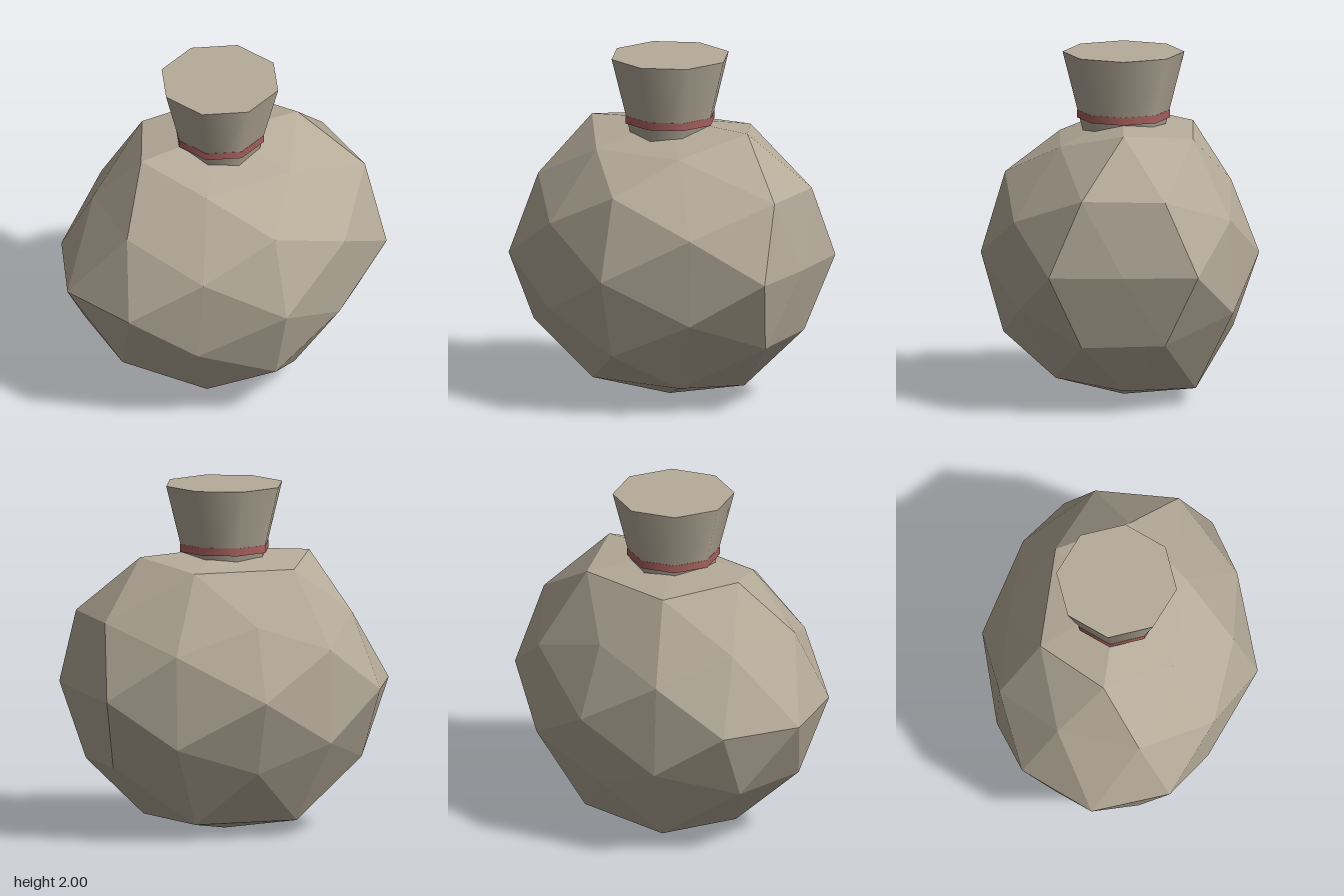
import * as THREE from 'three';

const CX = 0.06, CY = 0.83, CZ = -0.02;

// Corners of the stone body on its middle plane: [x, y, z]
const middle = [
  [0.06, 1.63, -0.02], [0.06, 0, -0.02],
  [0.06, 1.3, 0.66], [0.06, 0.83, 0.8], [0.06, 0.365, 0.67],
  [0.06, 1.25, -0.64], [0.06, 0.83, -0.8], [0.06, 0.4, -0.65],
];
// Right and left corners that share a height and depth: [x right, x left, y, z]
const pairs = [
  [-0.45, 0.57, 1.595, -0.02], [-0.43, 0.55, 0.105, -0.02], [-0.93, 0.93, 0.83, -0.02],
  [-0.76, 0.92, 0.83, 0.41], [-0.74, 0.91, 0.83, -0.45],
  [-0.22, 0.32, 1.49, 0.345], [-0.23, 0.37, 1.545, -0.42],
  [-0.23, 0.34, 0.145, 0.37], [-0.24, 0.37, 0.09, -0.435],
  [-0.67, 0.88, 1.27, 0.22], [-0.63, 0.86, 1.26, -0.26],
  [-0.7, 0.82, 0.405, 0.22], [-0.69, 0.81, 0.415, -0.26],
  [-0.38, 0.54, 1.09, 0.61], [-0.4, 0.52, 0.575, 0.58],
  [-0.38, 0.55, 1.1, -0.635], [-0.38, 0.55, 0.56, -0.65],
];

// Subdivided icosahedron whose corners snap to the hewn corners above
function hewnBody() {
  const center = new THREE.Vector3(CX, CY, CZ);
  const corners = middle.map((p) => new THREE.Vector3(...p));
  for (const [right, left, y, z] of pairs) {
    corners.push(new THREE.Vector3(right, y, z), new THREE.Vector3(left, y, z));
  }
  const directions = corners.map((c) => c.clone().sub(center).normalize());
  const geometry = new THREE.IcosahedronGeometry(1, 1);
  const pos = geometry.attributes.position;
  const v = new THREE.Vector3();
  for (let i = 0; i < pos.count; i++) {
    v.fromBufferAttribute(pos, i);
    let best = 0;
    directions.forEach((d, j) => {
      if (d.dot(v) > directions[best].dot(v)) best = j;
    });
    pos.setXYZ(i, corners[best].x, corners[best].y, corners[best].z);
  }
  geometry.computeVertexNormals();
  return geometry;
}

// Eight-sided tapered ring or plug between two heights
function taper(name, rTop, rBottom, y0, y1, material) {
  const mesh = new THREE.Mesh(new THREE.CylinderGeometry(rTop, rBottom, y1 - y0, 8), material);
  mesh.position.set(CX + 0.003, (y0 + y1) / 2, CZ);
  mesh.name = name;
  return mesh;
}

export function createModel() {
  const stone = new THREE.MeshStandardMaterial({ color: 0xb5ab99, flatShading: true });
  stone.name = 'stone';
  const clay = new THREE.MeshStandardMaterial({ color: 0xb5ab99 });
  clay.name = 'clay';
  const red = new THREE.MeshStandardMaterial({ color: 0xa8605e });
  red.name = 'red band';

  const group = new THREE.Group();
  const body = new THREE.Mesh(hewnBody(), stone);
  body.name = 'body';
  group.add(body);

  // Flared neck sunk into the body, with a band around its narrow part
  group.add(taper('neck', 0.35, 0.224, 1.5, 2, clay));
  group.add(taper('neckBand', 0.266, 0.266, 1.615, 1.66, red));
  return group;
}
